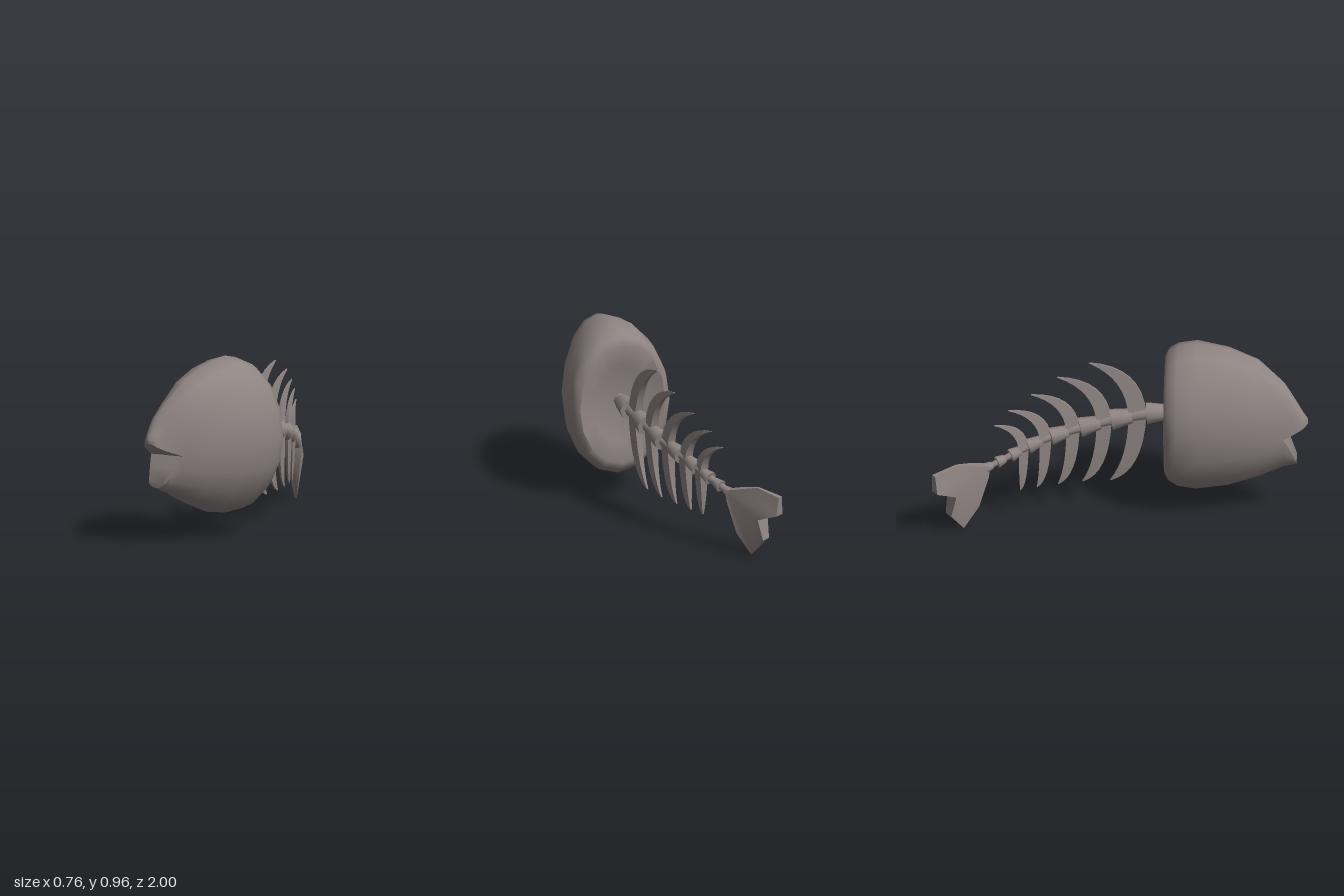
import * as THREE from 'three';
import { toCreasedNormals } from 'three/addons/utils/BufferGeometryUtils.js';

const V = (x, y, z) => new THREE.Vector3(x, y, z);

// Closed solid from triangles, turned outward by its signed volume
function solid(tris, crease) {
  const ok = tris.filter(([a, b, c]) =>
    b.clone().sub(a).cross(c.clone().sub(a)).length() > 1e-9);
  const volume = ok.reduce((s, [a, b, c]) => s + a.dot(b.clone().cross(c)), 0);
  const points = ok.flatMap(([a, b, c]) => (volume < 0 ? [a, c, b] : [a, b, c]));
  return toCreasedNormals(new THREE.BufferGeometry().setFromPoints(points), crease);
}

// Skin between two rows of points
function skin(tris, a, b, closed, flip) {
  const n = a.length;
  for (let j = 0; j < (closed ? n : n - 1); j++) {
    const k = (j + 1) % n;
    for (const t of [[a[j], a[k], b[k]], [a[j], b[k], b[j]]]) tris.push(flip ? t.reverse() : t);
  }
}

function fan(tris, row, flip) {
  for (let j = 1; j < row.length - 1; j++) {
    tris.push(flip ? [row[0], row[j + 1], row[j]] : [row[0], row[j], row[j + 1]]);
  }
}

// Closed loft with capped ends
function loft(rings, crease) {
  const tris = [];
  for (let i = 0; i < rings.length - 1; i++) skin(tris, rings[i], rings[i + 1], true, false);
  fan(tris, rings[0], true);
  fan(tris, rings[rings.length - 1], false);
  return solid(tris, crease);
}

// Head sections: z, seam height, top, bottom, right edge, left edge
const SKULL = [
  [0.28, 0.53, 0.53, 0.53, 0.1, 0.1],
  [0.265, 0.53, 0.75, 0.31, -0.05, 0.25],
  [0.23, 0.53, 0.87, 0.2, -0.145, 0.34],
  [0.25, 0.53, 0.91, 0.16, -0.175, 0.37],
  [0.3, 0.53, 0.94, 0.125, -0.185, 0.38],
  [0.4, 0.53, 0.96, 0.11, -0.183, 0.375],
  [0.57, 0.52, 0.935, 0.135, -0.15, 0.325],
  [0.73, 0.5, 0.88, 0.195, -0.115, 0.255],
  [0.87, 0.475, 0.77, 0.27, -0.07, 0.14],
];
// Jaw sections beyond the mouth corner: z, lip height, outer height, right, left
const UPPER_JAW = [
  [0.93, 0.505, 0.69, -0.06, 0.065],
  [0.975, 0.53, 0.61, -0.045, 0.035],
  [1.0, 0.55, 0.575, -0.02, 0.012],
];
const LOWER_JAW = [
  [0.905, 0.41, 0.285, -0.055, 0.09],
  [0.938, 0.335, 0.303, -0.04, 0.055],
];

function headGeometry() {
  const tris = [];
  for (const up of [true, false]) {
    const sections = SKULL.map(([z, m, t, b, l, r]) => [z, m, up ? t : b, l, r])
      .concat(up ? UPPER_JAW : LOWER_JAW);
    const rows = sections.map(([z, m, e, l, r]) => Array.from({ length: 9 }, (_, j) => {
      const a = (j / 8) * Math.PI;
      return V((l + r) / 2 + ((r - l) / 2) * Math.cos(a), m + (e - m) * Math.sin(a), z);
    }));
    for (let i = 0; i < rows.length - 1; i++) {
      skin(tris, rows[i], rows[i + 1], i >= SKULL.length - 1, !up);
    }
    fan(tris, rows[rows.length - 1], !up);
  }
  return solid(tris, 0.9);
}

// Backbone path
const spine = new THREE.CatmullRomCurve3([
  V(0.097, 0.548, 0.29), V(0.09, 0.54, 0.15), V(0.07, 0.52, 0), V(0.035, 0.48, -0.2),
  V(-0.035, 0.43, -0.42), V(-0.115, 0.365, -0.6), V(-0.185, 0.315, -0.74),
]);

// Backbone point at a given z
function spineAt(z) {
  let lo = 0, hi = 1;
  for (let i = 0; i < 24; i++) {
    const mid = (lo + hi) / 2;
    if (spine.getPoint(mid).z > z) lo = mid; else hi = mid;
  }
  return spine.getPoint(lo);
}

// Sickle-shaped rib half, from the backbone to its tip
function ribGeometry(front, back, tipZ, tipY) {
  const base = spineAt((front + back) / 2);
  const ahead = spineAt(base.z - 0.1);
  const slope = (ahead.x - base.x) / (ahead.z - base.z);
  const height = tipY - base.y;
  const edge = (z, bend, rise) => new THREE.QuadraticBezierCurve(
    new THREE.Vector2(z, base.y),
    new THREE.Vector2(z + (tipZ - z) * bend, base.y + height * rise),
    new THREE.Vector2(tipZ, tipY));
  const outer = edge(front, 0.08, 0.9), inner = edge(back, 0.05, 0.7);
  const rings = [];
  for (let i = 0; i <= 8; i++) {
    const t = (i / 8) * 0.97;
    const o = outer.getPoint(t), n = inner.getPoint(t);
    const half = 0.02 * (1 - t) + 0.003;
    const at = (p, side) => V(base.x + (p.x - base.z) * slope + side, p.y, p.x);
    rings.push([at(o, half * 0.5), at(o, -half * 0.5), at(n, -half), at(n, half)]);
  }
  return loft(rings, 0.6);
}

// Forked tail outline: z, y, half thickness
const TAIL = [
  [-0.71, 0.34, 0.025], [-0.78, 0.365, 0.025], [-0.87, 0.392, 0.008], [-0.99, 0.367, 0.015],
  [-0.985, 0.263, 0.028], [-0.895, 0.225, 0.045], [-0.913, 0.108, 0.028],
  [-0.835, 0.003, 0.005], [-0.76, 0.11, 0.012], [-0.715, 0.28, 0.025],
];

function tailGeometry() {
  const side = (s) => TAIL.map(([z, y, h]) =>
    V(-0.175 + (z + 0.72) * 0.7 + s * h * 0.82, y, z - s * h * 0.57));
  const a = side(1), b = side(-1), tris = [];
  const outline = TAIL.map(([z, y]) => new THREE.Vector2(z, y));
  const clockwise = THREE.ShapeUtils.isClockWise(outline);
  for (const [i, j, k] of THREE.ShapeUtils.triangulateShape(outline, [])) {
    const area = THREE.ShapeUtils.area([outline[i], outline[j], outline[k]]);
    const [p, q] = (area < 0) === clockwise ? [j, k] : [k, j];
    tris.push([a[i], a[q], a[p]], [b[i], b[p], b[q]]);
  }
  skin(tris, a, b, true, false);
  return solid(tris, 0.5);
}

export function createModel() {
  const model = new THREE.Group();
  model.name = 'fishSkeleton';
  const bone = new THREE.MeshStandardMaterial({ color: 0x8f8583 });
  bone.name = 'greyBone';
  const add = (name, geometry) => {
    const mesh = new THREE.Mesh(geometry, bone);
    mesh.name = name;
    model.add(mesh);
    return mesh;
  };

  add('head', headGeometry());

  // Tapered backbone
  const rings = [];
  for (let i = 0; i <= 24; i++) {
    const t = i / 24, c = spine.getPoint(t), r = 0.038 - 0.02 * t;
    rings.push(Array.from({ length: 8 }, (_, j) => {
      const a = (j / 8) * Math.PI * 2;
      return V(c.x + r * Math.cos(a), c.y + r * Math.sin(a), c.z);
    }));
  }
  add('backbone', loft(rings, 1));

  // Vertebrae flaring toward the tail: front z, back z, radius
  const vertebrae = [
    [0.25, 0.13, 0.061], [0.05, -0.06, 0.059], [-0.12, -0.225, 0.055], [-0.29, -0.38, 0.049],
    [-0.43, -0.5, 0.043], [-0.54, -0.59, 0.038], [-0.62, -0.66, 0.034], [-0.685, -0.72, 0.03],
  ];
  vertebrae.forEach(([z0, z1, r], i) => {
    const p = spineAt(z0), q = spineAt(z1);
    const mesh = add('vertebra' + (i + 1),
      toCreasedNormals(new THREE.CylinderGeometry(r, r * 0.7, p.distanceTo(q), 8), 0.9));
    mesh.position.copy(p).lerp(q, 0.5);
    mesh.quaternion.setFromUnitVectors(V(0, 1, 0), q.sub(p).normalize());
  });

  // Ribs: front z, back z, upper tip z and y, lower tip z and y
  const ribs = [
    [0.13, 0.035, -0.19, 0.862, -0.07, 0.142],
    [-0.055, -0.135, -0.358, 0.79, -0.217, 0.145],
    [-0.225, -0.295, -0.495, 0.712, -0.343, 0.147],
    [-0.375, -0.435, -0.612, 0.642, -0.453, 0.147],
    [-0.495, -0.545, -0.683, 0.57, -0.538, 0.147],
  ];
  ribs.forEach(([f, b, uz, uy, lz, ly], i) => {
    add('upperRib' + (i + 1), ribGeometry(f, b, uz, uy));
    add('lowerRib' + (i + 1), ribGeometry(f, b, lz, ly));
  });

  add('tailFin', tailGeometry());
  return model;
}
